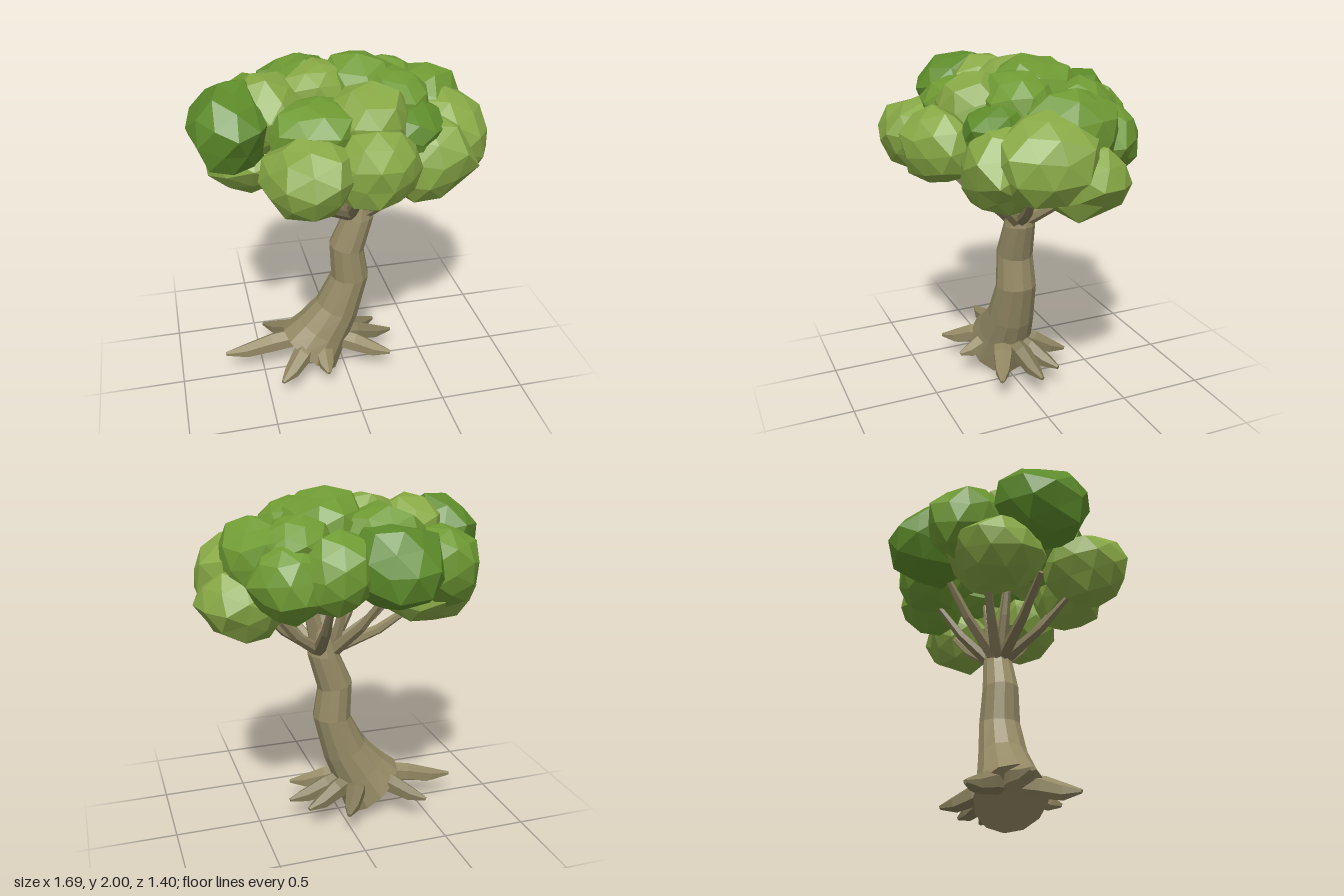
import * as THREE from 'three';

const material = (color) => new THREE.MeshStandardMaterial({ color, flatShading: true });
const bark = material(0x958a65);
const barkDark = material(0x837a58);
const greens = [0x6f9a33, 0x87a845, 0x5d8b2a].map(material);

// Skin a list of equal-sized rings of points and close both ends.
function loft(rings) {
  const n = rings[0].length, pos = [], idx = [];
  rings.forEach((ring) => ring.forEach((p) => pos.push(p.x, p.y, p.z)));
  for (let i = 0; i < rings.length - 1; i++) {
    for (let j = 0; j < n; j++) {
      const a = i * n + j, b = i * n + (j + 1) % n;
      idx.push(a, a + n, b, b, a + n, b + n);
    }
  }
  const last = (rings.length - 1) * n;
  for (let j = 1; j < n - 1; j++) {
    idx.push(0, j, j + 1, last, last + j + 1, last + j);
  }
  const g = new THREE.BufferGeometry();
  g.setAttribute('position', new THREE.Float32BufferAttribute(pos, 3));
  g.setIndex(idx);
  const flat = g.toNonIndexed();
  flat.computeVertexNormals();
  return flat;
}

// One ring of points around a centre, spanned by two half axes.
function ringAt(centre, u, v, sides) {
  return Array.from({ length: sides }, (_, j) => {
    const a = (j / sides) * Math.PI * 2;
    return centre.clone().addScaledVector(u, Math.cos(a)).addScaledVector(v, Math.sin(a));
  });
}

// Tapered limb along a few points.
function limb(points, radii, sides) {
  const dir = points[points.length - 1].clone().sub(points[0]).normalize();
  const v = dir.clone().cross(new THREE.Vector3(0, 1, 0)).normalize();
  const u = dir.clone().cross(v);
  return loft(points.map((p, i) =>
    ringAt(p, u.clone().multiplyScalar(radii[i]), v.clone().multiplyScalar(radii[i]), sides)));
}

// Repeatable value in -1..1 from a position and a seed.
function hash(x, y, z, seed) {
  const s = Math.sin(Math.round(x * 100) * 12.9898 + Math.round(y * 100) * 78.233 +
    Math.round(z * 100) * 37.719 + seed * 19.19) * 43758.5453;
  return (s - Math.floor(s)) * 2 - 1;
}

// Faceted leaf clump: an icosphere with its vertices pushed in and out.
function clumpGeometry(radii, seed) {
  const g = new THREE.IcosahedronGeometry(1, 1);
  const p = g.attributes.position;
  const turn = new THREE.Euler(seed * 1.3, seed * 2.1, seed * 0.7);
  const w = new THREE.Vector3();
  for (let i = 0; i < p.count; i++) {
    w.fromBufferAttribute(p, i);
    const k = 1.01 + 0.11 * hash(w.x, w.y, w.z, seed);
    w.applyEuler(turn).multiplyScalar(k);
    p.setXYZ(i, w.x * radii[0], w.y * radii[1], w.z * radii[2]);
  }
  g.computeVertexNormals();
  return g;
}

export function createModel() {
  const tree = new THREE.Group();
  tree.name = 'tree';
  const add = (parent, name, geometry, mat) => {
    const mesh = new THREE.Mesh(geometry, mat);
    mesh.name = name;
    parent.add(mesh);
    return mesh;
  };
  const group = (name) => {
    const g = new THREE.Group();
    g.name = name;
    tree.add(g);
    return g;
  };

  // Leaning trunk: left x, left y, right x, right y, half depth
  const trunkRings = [
    [-0.37, 0.28, -0.05, 0.0, 0.2],
    [-0.27, 0.36, 0.02, 0.19, 0.165],
    [-0.16, 0.47, 0.09, 0.37, 0.14],
    [-0.07, 0.64, 0.155, 0.64, 0.12],
    [-0.08, 0.86, 0.125, 0.82, 0.107],
    [-0.01, 1.02, 0.185, 1.04, 0.09],
    [0.05, 1.2, 0.165, 1.18, 0.06],
  ].map(([lx, ly, rx, ry, hz]) => ringAt(
    new THREE.Vector3((lx + rx) / 2, (ly + ry) / 2, 0),
    new THREE.Vector3((rx - lx) / 2, (ry - ly) / 2, 0),
    new THREE.Vector3(0, 0, hz), 12));
  add(tree, 'trunk', loft(trunkRings), bark);

  // Roots: tip x, tip z
  const roots = group('roots');
  const rootTips = [
    [0.32, -0.05], [0.26, 0.18], [0.24, -0.19], [-0.15, 0.29], [0.04, -0.33],
    [-0.43, 0.31], [-0.46, -0.29], [-0.73, -0.03],
  ];
  rootTips.forEach(([x, z], i) => {
    const at = (t, y) => new THREE.Vector3(-0.15 + (x + 0.15) * t, y, z * t);
    const points = [at(0.2, 0.22), at(0.5, 0.19), at(0.78, 0.15), at(1, 0.14)];
    add(roots, 'root', limb(points, [0.06, 0.06, 0.045, 0.012], 6), i % 2 ? bark : barkDark);
  });

  // Branches: tip x, y, z
  const branches = group('branches');
  const branchTips = [
    [-0.45, 1.38, 0.12], [-0.4, 1.34, -0.18], [-0.25, 1.36, 0.34], [-0.15, 1.45, -0.36],
    [0.04, 1.45, 0.36], [0.12, 1.55, 0.05], [0.15, 1.42, -0.36], [0.32, 1.38, 0.28],
    [0.45, 1.32, 0.08], [0.42, 1.36, -0.22], [-0.1, 1.55, 0.02], [0.22, 1.5, -0.05],
  ];
  branchTips.forEach(([x, y, z], i) => {
    const root = new THREE.Vector3(0.08 + 0.05 * Math.sign(x - 0.08), 1.07, z * 0.12);
    const tip = new THREE.Vector3(x, y, z);
    const mid = root.clone().lerp(tip, 0.55);
    mid.y -= 0.03;
    add(branches, 'branch', limb([root, mid, tip], [0.038, 0.029, 0.018], 6), i % 2 ? bark : barkDark);
  });

  // Leaf clumps: centre x, y, z, radii x, y, z, green
  const foliage = group('foliage');
  const clumps = [
    [-0.62, 1.68, 0.08, 0.21, 0.24, 0.27, 2],
    [-0.49, 1.42, -0.14, 0.27, 0.19, 0.26, 1],
    [-0.28, 1.53, 0.44, 0.25, 0.21, 0.25, 1],
    [0.07, 1.54, 0.44, 0.23, 0.21, 0.22, 1],
    [0.41, 1.48, 0.24, 0.26, 0.24, 0.22, 1],
    [0.58, 1.42, -0.13, 0.24, 0.2, 0.24, 1],
    [0.56, 1.55, 0.06, 0.25, 0.24, 0.28, 1],
    [0.47, 1.66, -0.12, 0.24, 0.21, 0.26, 0],
    [0.36, 1.57, -0.36, 0.22, 0.22, 0.2, 0],
    [-0.18, 1.63, -0.45, 0.25, 0.24, 0.24, 2],
    [0.14, 1.6, -0.41, 0.21, 0.22, 0.2, 0],
    [-0.49, 1.6, -0.32, 0.2, 0.22, 0.22, 0],
    [-0.4, 1.7, 0.0, 0.22, 0.22, 0.24, 1],
    [-0.13, 1.8, -0.03, 0.21, 0.17, 0.18, 1],
    [-0.15, 1.72, -0.25, 0.24, 0.21, 0.22, 0],
    [0.1, 1.77, -0.08, 0.24, 0.22, 0.27, 0],
    [0.24, 1.74, 0.08, 0.21, 0.21, 0.2, 0],
    [0.08, 1.72, 0.24, 0.23, 0.19, 0.21, 1],
    [-0.2, 1.68, 0.25, 0.25, 0.19, 0.22, 0],
    [0.32, 1.63, 0.22, 0.17, 0.17, 0.19, 2],
    [0.3, 1.72, -0.25, 0.2, 0.17, 0.2, 0],
  ];
  clumps.forEach(([x, y, z, rx, ry, rz, green], i) => {
    add(foliage, 'leafClump', clumpGeometry([rx, ry, rz], i + 1), greens[green]).position.set(x, y, z);
  });

  return tree;
}
